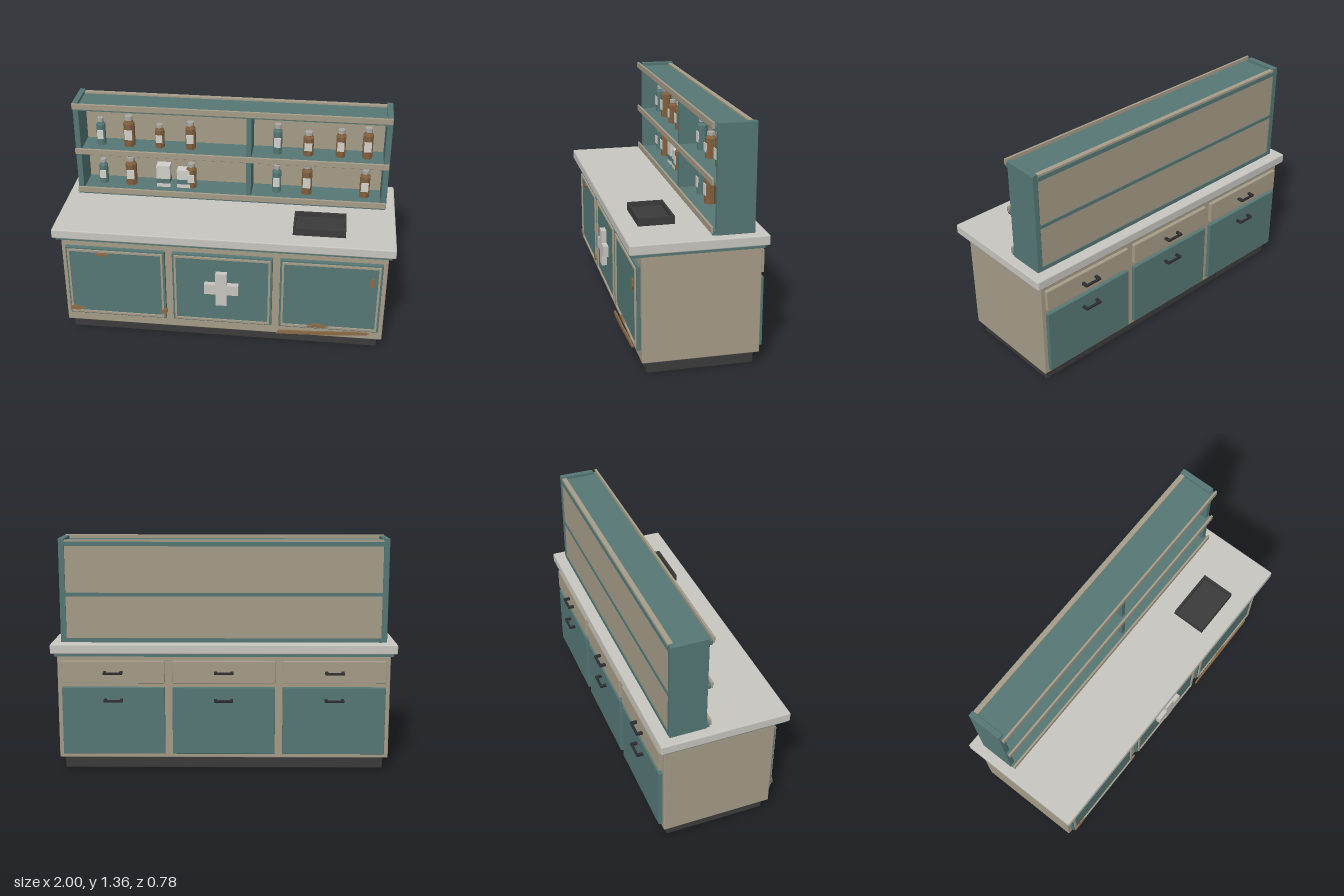
import * as THREE from 'three';
import { RoundedBoxGeometry } from 'three/addons/geometries/RoundedBoxGeometry.js';

const paint = (name, color) => {
  const m = new THREE.MeshStandardMaterial({ color });
  m.name = name;
  return m;
};

export function createModel() {
  const beige = paint('beige paint', 0xa69c88);
  const teal = paint('teal paint', 0x557775);
  const stone = paint('pale worktop', 0xc8c6c0);
  const dark = paint('dark plinth', 0x3b3b3b);
  const iron = paint('handle iron', 0x2e2e30);
  const rust = paint('rust', 0x8c6a47);
  const amber = paint('amber glass', 0x80603f);
  const white = paint('paper label', 0xd2d0ca);
  const grey = paint('bottle cap', 0xa9a9a4);

  const root = new THREE.Group();
  root.name = 'dispensaryCounter';

  const add = (name, geo, mat, parent = root) => {
    const mesh = new THREE.Mesh(geo, mat);
    mesh.name = name;
    parent.add(mesh);
    return mesh;
  };
  // Box given by its limits; r > 0 softens the edges
  const box = (name, mat, [x0, x1], [y0, y1], [z0, z1], r = 0, parent = root) => {
    const s = [x1 - x0, y1 - y0, z1 - z0];
    const geo = r ? new RoundedBoxGeometry(...s, 1, r) : new THREE.BoxGeometry(...s);
    const mesh = add(name, geo, mat, parent);
    mesh.position.set((x0 + x1) / 2, (y0 + y1) / 2, (z0 + z1) / 2);
    return mesh;
  };
  const group = (name) => {
    const g = new THREE.Group();
    g.name = name;
    root.add(g);
    return g;
  };

  // Cabinet carcass
  box('plinth', dark, [-0.937, 0.937], [0, 0.075], [-0.305, 0.29], 0.006);
  box('cabinetBody', beige, [-0.965, 0.965], [0.072, 0.682], [-0.333, 0.32], 0.006);
  box('underTrim', teal, [-0.98, 0.98], [0.68, 0.702], [-0.342, 0.37]);
  box('worktop', stone, [-1, 1], [0.698, 0.756], [-0.365, 0.39], 0.008);

  // Pull handle on the back, made of a bar and two posts
  const handle = (x, y, parent) => {
    box('handleBar', iron, [x - 0.055, x + 0.055], [y - 0.007, y + 0.007], [-0.395, -0.381], 0.004, parent);
    for (const s of [-1, 1]) {
      const px = x + s * 0.047;
      box('handlePost', iron, [px - 0.008, px + 0.008], [y - 0.007, y + 0.007], [-0.388, -0.35], 0, parent);
    }
  };

  // Three bays: framed panels in front, drawers and doors behind
  for (const x of [-0.64, 0, 0.64]) {
    const front = group('frontPanel');
    const L = x - 0.298, R = x + 0.298;
    box('panelBoard', teal, [L, R], [0.14, 0.616], [0.315, 0.341], 0.004, front);
    const i = 0.012, w = 0.012, z = [0.338, 0.35];
    for (const y of [0.14 + i, 0.616 - i - w]) box('panelTrimRail', beige, [L + i, R - i], [y, y + w], z, 0, front);
    for (const e of [L + i, R - i - w]) box('panelTrimStile', beige, [e, e + w], [0.164, 0.592], z, 0, front);

    const back = group('backBay');
    box('drawerFront', beige, [L, R], [0.525, 0.656], [-0.355, -0.33], 0.004, back);
    box('backDoor', teal, [L, R], [0.1, 0.5], [-0.355, -0.33], 0.004, back);
    handle(x, 0.59, back);
    handle(x, 0.427, back);
  }

  // Raised cross on the middle panel
  const crossShape = new THREE.Shape();
  const a = 0.034, b = 0.102, c = 0.111;
  [[-a, -c], [a, -c], [a, -a], [b, -a], [b, a], [a, a], [a, c], [-a, c], [-a, a], [-b, a], [-b, -a], [-a, -a]]
    .forEach(([px, py], k) => (k ? crossShape.lineTo(px, py) : crossShape.moveTo(px, py)));
  add('cross', new THREE.ExtrudeGeometry(crossShape, { depth: 0.033, bevelEnabled: false }), stone)
    .position.set(-0.003, 0.396, 0.339);

  // Rust patches as thin irregular plates
  const rustPatches = [
    [[-0.755, 0.578], [-0.72, 0.568], [-0.685, 0.575], [-0.68, 0.584], [-0.72, 0.588], [-0.75, 0.586]],
    [[-0.935, 0.175], [-0.88, 0.17], [-0.84, 0.185], [-0.87, 0.193], [-0.9, 0.202], [-0.93, 0.198]],
    [[-0.37, 0.185], [-0.34, 0.18], [-0.33, 0.2], [-0.335, 0.222], [-0.355, 0.215], [-0.372, 0.2]],
    [[0.868, 0.48], [0.88, 0.467], [0.892, 0.49], [0.89, 0.53], [0.875, 0.532], [0.865, 0.51]],
    [[0.505, 0.16], [0.6, 0.157], [0.64, 0.168], [0.6, 0.178], [0.55, 0.184], [0.53, 0.17]],
    [[0.33, 0.095], [0.6, 0.105], [0.87, 0.125], [0.885, 0.14], [0.78, 0.143], [0.6, 0.128], [0.345, 0.12]],
  ];
  for (const pts of rustPatches) {
    const shape = new THREE.Shape(pts.map(([x, y]) => new THREE.Vector2(x, y)));
    add('rustPatch', new THREE.ExtrudeGeometry(shape, { depth: 0.009, bevelEnabled: false }), rust).position.z = 0.347;
  }

  // Shelf unit
  const hutch = group('shelfUnit');
  for (const s of [-1, 1])
    box('shelfSide', teal, [s * 0.928 - 0.017, s * 0.928 + 0.017], [0.75, 1.357], [-0.297, -0.085], 0.003, hutch);
  box('shelfDivider', teal, [0.095, 0.125], [0.77, 1.325], [-0.27, -0.085], 0, hutch);
  box('shelfBack', beige, [-0.915, 0.915], [0.752, 1.348], [-0.293, -0.265], 0, hutch);
  for (const [y0, y1, lip] of [[0.755, 0.78, 0.767], [1.025, 1.045, 1.028], [1.313, 1.338, 1.323]]) {
    box('shelfBoard', teal, [-0.915, 0.915], [y0, y1], [-0.298, -0.08], 0, hutch);
    box('shelfEdge', teal, [-0.94, 0.94], [y0, y1], [-0.086, -0.066], 0, hutch);
    box('shelfLip', beige, [-0.942, 0.942], [lip, lip + 0.037], [-0.068, -0.055], 0.003, hutch);
  }

  // Bottles: faceted body, cap, and a label on the front: [x, base, height, radius, glass]
  const bottles = [
    [-0.805, 1.045, 0.175, 0.028, teal], [-0.63, 1.045, 0.195, 0.035, amber],
    [-0.443, 1.045, 0.15, 0.029, amber], [-0.253, 1.045, 0.175, 0.032, amber],
    [0.275, 1.045, 0.19, 0.029, teal], [0.46, 1.045, 0.15, 0.034, amber],
    [0.653, 1.045, 0.175, 0.031, amber], [0.812, 1.045, 0.195, 0.033, amber],
    [-0.805, 0.78, 0.16, 0.028, teal], [-0.63, 0.78, 0.183, 0.035, amber],
    [-0.253, 0.78, 0.16, 0.032, amber], [0.275, 0.78, 0.18, 0.029, teal],
    [0.46, 0.78, 0.2, 0.034, amber], [0.812, 0.78, 0.18, 0.033, amber],
  ];
  const flat = (geo) => {
    const g = geo.toNonIndexed();
    g.computeVertexNormals();
    return g;
  };
  for (const [x, y, h, r, glass] of bottles) {
    const g = group('bottle');
    g.position.set(x, y, -0.185);
    const profile = [[0, 0], [r, 0], [r, h * 0.76], [r * 0.62, h * 0.85], [r * 0.62, h * 0.89], [0, h * 0.89]];
    const body = new THREE.LatheGeometry(profile.map(([u, v]) => new THREE.Vector2(u, v)), 8, Math.PI / 8);
    add('bottleBody', flat(body), glass, g);
    const cap = new THREE.CylinderGeometry(r * 0.7, r * 0.7, h * 0.13, 8);
    add('bottleCap', flat(cap), grey, g).position.y = h * 0.935;
    box('bottleLabel', white, [-r * 0.68, r * 0.68], [h * 0.25, h * 0.58], [r * 0.9, r * 0.9 + 0.006], 0, g);
  }

  // Cartons with a coloured band
  for (const [x, w, top] of [[-0.425, 0.084, 0.925], [-0.3, 0.08, 0.9]]) {
    const g = group('carton');
    const h = w / 2;
    box('cartonBody', white, [x - h, x + h], [0.78, top], [-0.215, -0.155], 0, g);
    box('cartonBand', teal, [x - h - 0.001, x + h + 0.001], [0.806, 0.836], [-0.216, -0.153], 0, g);
  }

  // Open tray on the worktop
  const tray = group('tray');
  box('trayBase', dark, [0.405, 0.71], [0.756, 0.772], [0.08, 0.285], 0, tray);
  for (const z of [0.08, 0.273]) box('trayWall', dark, [0.405, 0.71], [0.76, 0.8], [z, z + 0.012], 0, tray);
  for (const x of [0.405, 0.698]) box('trayWall', dark, [x, x + 0.012], [0.76, 0.8], [0.092, 0.273], 0, tray);

  return root;
}
